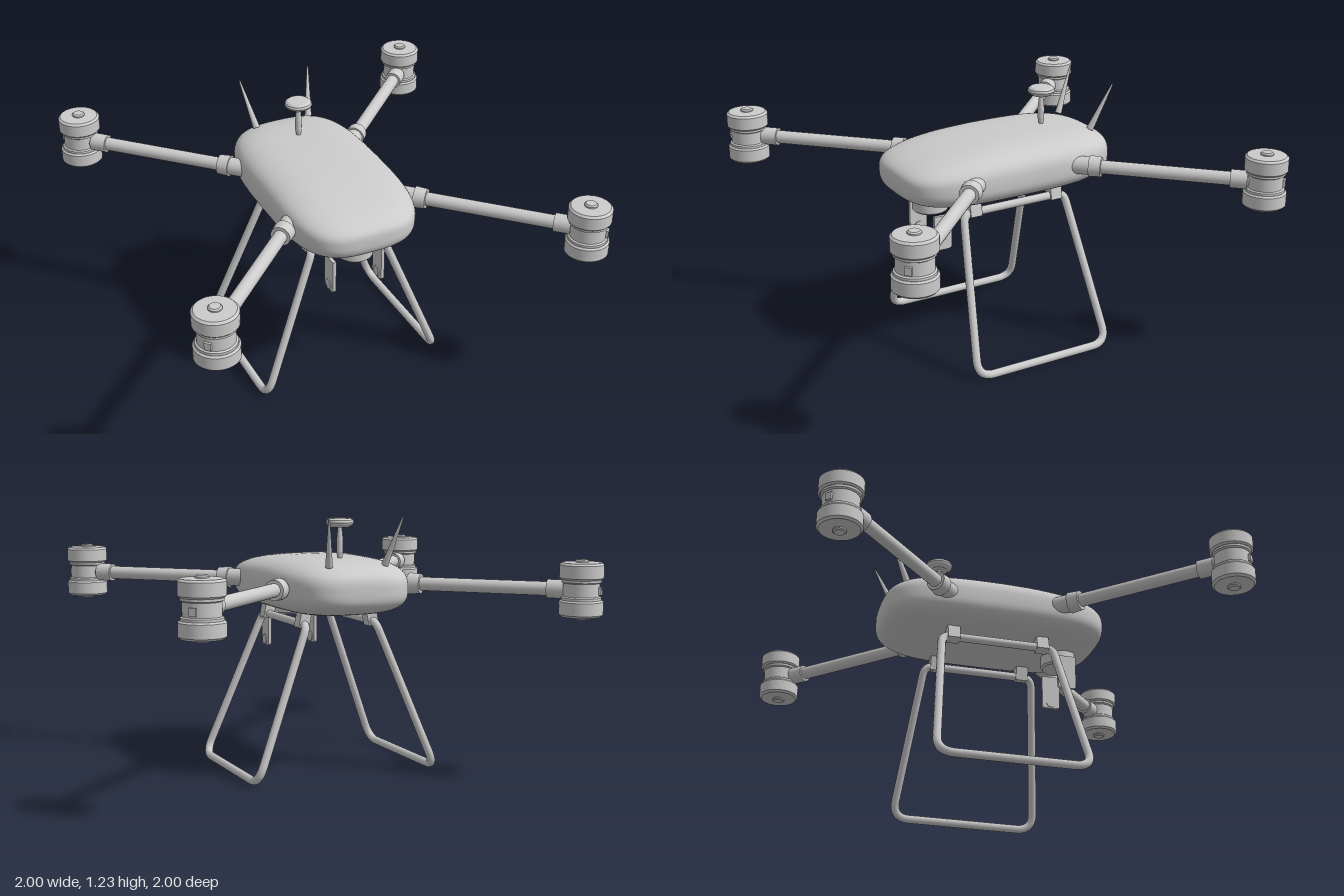
import * as THREE from 'three';

const material = new THREE.MeshStandardMaterial({ color: 0xcccccc, roughness: 0.6, side: THREE.DoubleSide });

function add(parent, name, geometry, x = 0, y = 0, z = 0) {
  const mesh = new THREE.Mesh(geometry, material);
  mesh.name = name;
  mesh.position.set(x, y, z);
  parent.add(mesh);
  return mesh;
}

// Tapered round rod between two points
function rod(parent, name, a, b, r0, r1 = r0, sides = 24) {
  const dir = b.clone().sub(a);
  const mesh = add(parent, name, new THREE.CylinderGeometry(r1, r0, dir.length(), sides));
  mesh.position.copy(a).addScaledVector(dir, 0.5);
  mesh.quaternion.setFromUnitVectors(new THREE.Vector3(0, 1, 0), dir.normalize());
  return mesh;
}

// Turned part from [radius, height] pairs; creases are kept by splitting each segment
function turned(profile, sides = 40) {
  const pts = [];
  profile.forEach(([r, y], i) => {
    pts.push(new THREE.Vector2(r, y));
    if (i > 0 && i < profile.length - 1) pts.push(new THREE.Vector2(r, y));
  });
  return new THREE.LatheGeometry(pts, sides);
}

const spow = (v, e) => Math.sign(v) * Math.pow(Math.abs(v), e);

// Fuselage: superelliptic cross-sections along z, with a lower nose
function bodyGeometry() {
  const rings = 48, segs = 64, pos = [], idx = [];
  for (let i = 0; i <= rings; i++) {
    const t = (i / rings - 0.5) * Math.PI;
    const u = spow(Math.sin(t), 2 / 3.5);
    const s = Math.pow(Math.max(0, Math.cos(t)), 2 / 3.5);
    const top = 0.14 * s * (1 - 0.3 * Math.pow(Math.max(0, u), 1.5));
    const bottom = 0.13 * s;
    for (let j = 0; j < segs; j++) {
      const a = (j / segs) * Math.PI * 2;
      const cy = spow(Math.sin(a), 2 / 3);
      pos.push(0.315 * s * spow(Math.cos(a), 2 / 3), 0.895 + cy * (cy > 0 ? top : bottom), 0.005 + 0.55 * u);
      if (i < rings) {
        const k = (j + 1) % segs, p = i * segs, q = p + segs;
        idx.push(p + j, p + k, q + j, p + k, q + k, q + j);
      }
    }
  }
  const g = new THREE.BufferGeometry();
  g.setAttribute('position', new THREE.Float32BufferAttribute(pos, 3));
  g.setIndex(idx);
  g.computeVertexNormals();
  return g;
}

// Closed path through corners, each rounded by its own radius
function roundedLoop(corners) {
  const path = new THREE.CurvePath();
  const n = corners.length;
  const ends = corners.map(({ p, r }, i) => {
    const toward = (o) => p.clone().addScaledVector(o.p.clone().sub(p).normalize(), r);
    return { from: toward(corners[(i + n - 1) % n]), to: toward(corners[(i + 1) % n]) };
  });
  corners.forEach(({ p }, i) => {
    path.add(new THREE.QuadraticBezierCurve3(ends[i].from, p, ends[i].to));
    path.add(new THREE.LineCurve3(ends[i].to, ends[(i + 1) % n].from));
  });
  return path;
}

// Pair of motors, one above and one below the arm end
function buildMotor(sx, sz) {
  const motor = new THREE.Group();
  motor.name = 'motor';
  motor.position.set(sx * 0.9, 0.908, sz * 0.9);
  add(motor, 'motorMount', turned([[0.09, -0.05], [0.09, -0.035], [0.082, -0.03], [0.082, 0.03], [0.09, 0.035], [0.09, 0.05]]));
  for (const s of [1, -1]) {
    const bell = turned([[0, 0.046], [0.092, 0.046], [0.1, 0.054], [0.1, 0.112], [0.09, 0.122],
      [0.03, 0.124], [0.03, 0.13], [0.024, 0.136], [0, 0.136]]);
    add(motor, s > 0 ? 'upperMotor' : 'lowerMotor', bell).rotation.x = s > 0 ? 0 : Math.PI;
  }
  const lamp = add(motor, 'motorLamp', new THREE.BoxGeometry(0.03, 0.035, 0.02), sx * 0.058, -0.005, sz * 0.058);
  lamp.rotation.y = Math.atan2(sx, sz);
  return motor;
}

function buildArm(sx, sz) {
  const arm = new THREE.Group();
  arm.name = 'arm';
  const at = (d) => new THREE.Vector3(sx * (d + 0.008), 0.905, sz * (d - 0.008));
  rod(arm, 'armTube', at(0.24), at(0.86), 0.032);
  rod(arm, 'armSocket', at(0.22), at(0.34), 0.043);
  rod(arm, 'armCollar', at(0.325), at(0.365), 0.051, 0.047);
  rod(arm, 'armClamp', at(0.79), at(0.845), 0.043);
  arm.add(buildMotor(sx, sz));
  return arm;
}

function buildLandingGear(sx) {
  const gear = new THREE.Group();
  gear.name = 'landingGear';
  const point = (y, z) => new THREE.Vector3(sx * (0.175 + (0.28 * (0.73 - y)) / 0.71), y, z);
  const loop = roundedLoop([
    { p: point(0.727, 0.275), r: 0.045 }, { p: point(0.022, 0.36), r: 0.085 },
    { p: point(0.022, -0.36), r: 0.085 }, { p: point(0.727, -0.275), r: 0.045 },
  ]);
  add(gear, 'skidLoop', new THREE.TubeGeometry(loop, 200, 0.02, 12, true));
  for (const z of [0.22, -0.22]) {
    const bracket = add(gear, 'skidBracket', new THREE.BoxGeometry(0.052, 0.075, 0.06), sx * 0.173, 0.745, z);
    bracket.rotation.z = sx * 0.2;
  }
  return gear;
}

// Camera turret with two hanging side plates
function buildCamera() {
  const camera = new THREE.Group();
  camera.name = 'cameraMount';
  add(camera, 'turret', turned([[0, 0.708], [0.075, 0.708], [0.084, 0.716], [0.084, 0.79], [0, 0.79]]), 0, 0, 0.358);
  const w = 0.045, h = 0.085, r = 0.018;
  const shape = new THREE.Shape();
  shape.moveTo(-w, h);
  shape.lineTo(-w, r - h);
  shape.quadraticCurveTo(-w, -h, r - w, -h);
  shape.lineTo(w - r, -h);
  shape.quadraticCurveTo(w, -h, w, r - h);
  shape.lineTo(w, h);
  shape.closePath();
  for (const s of [1, -1]) {
    const g = new THREE.ExtrudeGeometry(shape, { depth: 0.016, bevelEnabled: false });
    g.translate(0, 0, -0.008);
    g.rotateY(Math.PI / 2);
    add(camera, 'sidePlate', g, s * 0.125, 0.636, 0.36);
    const pivot = add(camera, 'platePivot', new THREE.CylinderGeometry(0.025, 0.025, 0.026, 24), s * 0.125, 0.58, 0.36);
    pivot.rotation.z = Math.PI / 2;
  }
  return camera;
}

export function createModel() {
  const model = new THREE.Group();
  model.name = 'drone';
  add(model, 'body', bodyGeometry());
  for (const sx of [1, -1]) {
    for (const sz of [1, -1]) model.add(buildArm(sx, sz));
    model.add(buildLandingGear(sx));

    // Whip antenna at the tail
    const base = new THREE.Vector3(sx * 0.14, 1.01, -0.443), tip = new THREE.Vector3(sx * 0.182, 1.23, -0.538);
    rod(model, 'antenna', base, tip, 0.017, 0.004, 16);
  }
  model.add(buildCamera());

  // Positioning receiver on its mast
  add(model, 'receiverMast', turned([[0.009, 1.02], [0.016, 1.06], [0.016, 1.11], [0.009, 1.18]], 20), 0, 0, -0.253);
  add(model, 'receiverDisc', turned([[0, 1.174], [0.042, 1.174], [0.062, 1.188], [0.066, 1.197],
    [0.062, 1.208], [0.05, 1.216], [0, 1.218]]), 0, 0, -0.253);
  return model;
}
